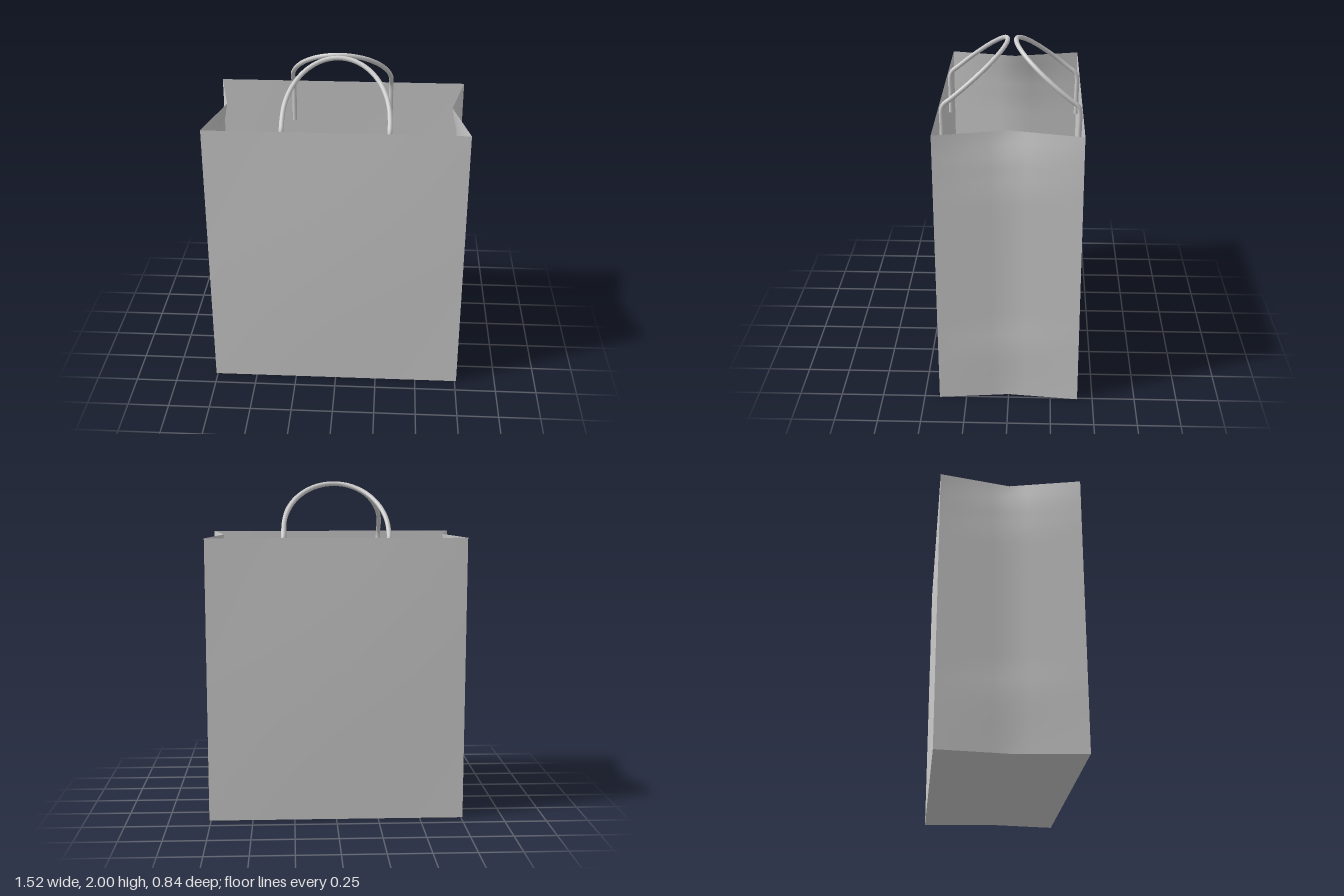
import * as THREE from 'three';

const W = 0.76, D = 0.41, H = 1.68; // half width, half depth, height of the bag

// A sheet whose vertices are placed by rule(u, v), u and v from 0 to 1
function sheet(name, material, nu, nv, rule) {
  const geo = new THREE.PlaneGeometry(1, 1, nu, nv);
  const pos = geo.attributes.position;
  for (let i = 0; i < pos.count; i++) {
    pos.setXYZ(i, ...rule(pos.getX(i) + 0.5, pos.getY(i) + 0.5));
  }
  geo.computeVertexNormals();
  const mesh = new THREE.Mesh(geo, material);
  mesh.name = name;
  return mesh;
}

// Inward depth of the side fold at a given height
const foldProfile = [[0, 0.04], [0.36, 0.032], [0.5, 0.04], [1.3, 0.04], [1.5, 0.055], [H, 0.09]];
function foldDepth(y) {
  for (let i = 1; i < foldProfile.length; i++) {
    const [y0, d0] = foldProfile[i - 1], [y1, d1] = foldProfile[i];
    if (y <= y1 + 1e-6) return d0 + (d1 - d0) * THREE.MathUtils.smoothstep(y, y0, y1);
  }
  return 0.09;
}

export function createModel() {
  const paper = new THREE.MeshStandardMaterial({ color: 0xcccccc });
  paper.name = 'grey paper';
  paper.side = THREE.DoubleSide;
  const bag = new THREE.Group();
  bag.name = 'paperBag';

  // Front and back panels, bulging very slightly
  for (const s of [1, -1]) {
    bag.add(sheet(s > 0 ? 'frontPanel' : 'backPanel', paper, 16, 16, (u, v) => [
      s * (u * 2 - 1) * W,
      v * H,
      s * (D + 0.01 * Math.sin(Math.PI * u) * Math.sin(Math.PI * v)),
    ]));
  }

  // Side panels folded inward along the middle
  for (const s of [1, -1]) {
    bag.add(sheet(s > 0 ? 'leftGusset' : 'rightGusset', paper, 8, 24, (u, v) => {
      const k = 1 - 2 * u;
      return [s * (W - foldDepth(v * H) * (1 - Math.abs(k))), v * H, s * k * D];
    }));
  }

  // Floor, notched to meet the folded sides
  const notch = W - 0.04;
  const outline = new THREE.Shape([
    [-W, -D], [W, -D], [notch, 0], [W, D], [-W, D], [-notch, 0],
  ].map(([x, y]) => new THREE.Vector2(x, y)));
  const floor = new THREE.Mesh(new THREE.ShapeGeometry(outline).rotateX(-Math.PI / 2), paper);
  floor.name = 'floor';
  bag.add(floor);

  // Crumpled filling inside the bag
  bag.add(sheet('filling', paper, 48, 30, (u, v) => {
    const x = (u * 2 - 1) * 0.68, z = (1 - 2 * v) * 0.385;
    const bump = 0.018 * Math.sin(9 * x + 4 * z) * Math.cos(11 * z - 3 * x)
      + 0.012 * Math.sin(17 * x - 13 * z + 1) + 0.008 * Math.cos(12 * x + 23 * z);
    return [x, 0.4 + bump, z];
  }));

  // Cord handles: upright ends inside the bag, loops leaning together
  for (const s of [1, -1]) {
    const R = 0.305, base = 0.395, points = [];
    const lean = (x, t) => new THREE.Vector3(x, H + 0.306 * t, s * (base - 0.37 * t));
    points.push(new THREE.Vector3(R, 1.42, s * base), new THREE.Vector3(R, 1.55, s * base));
    points.push(new THREE.Vector3(R, H - 0.02, s * base));
    for (let i = 0; i <= 16; i++) {
      const a = Math.PI * i / 16;
      if (i === 0) points.push(lean(R, 0.03));
      points.push(lean(R * Math.cos(a), 0.15 + 0.85 * Math.sin(a)));
      if (i === 16) points.push(lean(-R, 0.03));
    }
    points.push(new THREE.Vector3(-R, H - 0.02, s * base));
    points.push(new THREE.Vector3(-R, 1.55, s * base), new THREE.Vector3(-R, 1.42, s * base));
    const handle = new THREE.Group();
    handle.name = s > 0 ? 'frontHandle' : 'backHandle';
    const cord = new THREE.Mesh(
      new THREE.TubeGeometry(new THREE.CatmullRomCurve3(points), 120, 0.014, 10), paper);
    cord.name = 'cord';
    handle.add(cord);
    // Closed cord ends
    for (const x of [-R, R]) {
      const end = new THREE.Mesh(new THREE.CircleGeometry(0.014, 10).rotateX(Math.PI / 2), paper);
      end.name = 'cordEnd';
      end.position.set(x, 1.42, s * base);
      handle.add(end);
    }
    bag.add(handle);
  }
  return bag;
}
